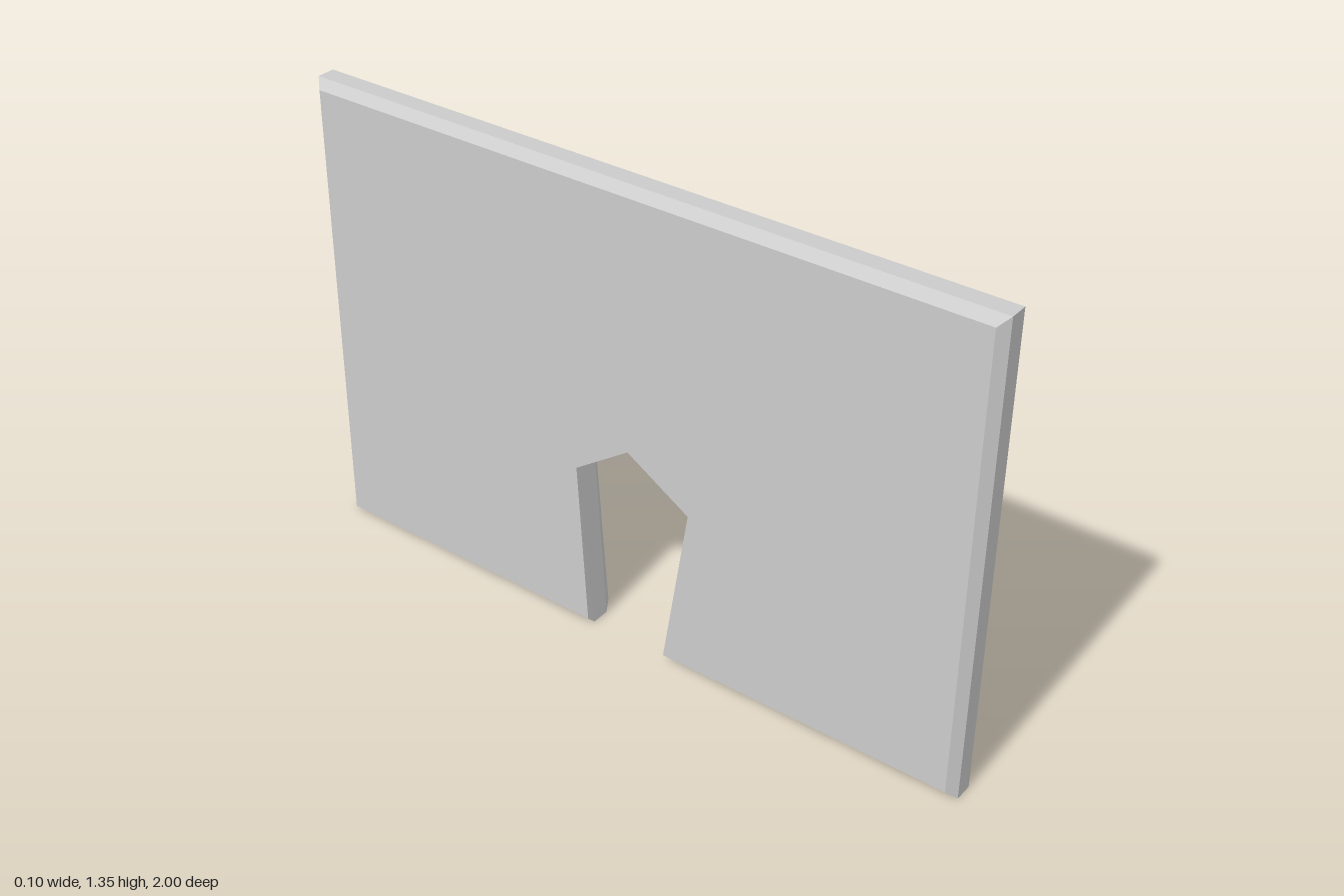
import * as THREE from 'three';

const HEIGHT = 1.345, BEVEL = 0.024, HALF = 0.05;

// Outline of the wall with its pointed doorway, as [along, up], counter-clockwise.
function outline(inset, doorway) {
  return [
    [-1 + inset, inset],
    ...doorway,
    [1 - inset, inset],
    [1 - inset, HEIGHT - inset],
    [-1 + inset, HEIGHT - inset],
  ].map(([u, v]) => new THREE.Vector2(u, v));
}

function createWallGeometry() {
  const door = [[-0.125, 0], [-0.2, 0.5], [-0.012, 0.615], [0.153, 0.5], [0.12, 0]];
  const doorPlain = [[-0.128, BEVEL], ...door.slice(1, 4), [0.122, BEVEL]];
  const doorWide = [[-0.14, BEVEL], [-0.213, 0.512], [-0.014, 0.63], [0.17, 0.514], [0.132, BEVEL]];

  // Cross-sections through the thickness; the doorway is bevelled on the +x face only
  const layers = [
    { x: -HALF, points: outline(BEVEL, doorPlain) },
    { x: -HALF + BEVEL, points: outline(0, door) },
    { x: HALF - BEVEL, points: outline(0, door) },
    { x: HALF, points: outline(BEVEL, doorWide) },
  ];
  const positions = [];
  const put = (layer, i) => positions.push(layer.x, layer.points[i].y, -layer.points[i].x);

  // Rim and bevels
  for (let k = 0; k < layers.length - 1; k++) {
    const a = layers[k], b = layers[k + 1], n = a.points.length;
    for (let i = 0; i < n; i++) {
      const j = (i + 1) % n;
      put(a, i); put(a, j); put(b, j);
      put(a, i); put(b, j); put(b, i);
    }
  }

  // Broad faces
  const back = layers[0], front = layers[3];
  for (const [i, j, k] of THREE.ShapeUtils.triangulateShape(front.points, [])) {
    put(front, i); put(front, j); put(front, k);
  }
  for (const [i, j, k] of THREE.ShapeUtils.triangulateShape(back.points, [])) {
    put(back, k); put(back, j); put(back, i);
  }

  const geometry = new THREE.BufferGeometry();
  geometry.setAttribute('position', new THREE.Float32BufferAttribute(positions, 3));
  geometry.computeVertexNormals();
  return geometry;
}

export function createModel() {
  const group = new THREE.Group();
  group.name = 'wallPanel';
  const material = new THREE.MeshStandardMaterial({ color: 0xcccccc, flatShading: true });
  const wall = new THREE.Mesh(createWallGeometry(), material);
  wall.name = 'wallWithDoorway';
  group.add(wall);
  return group;
}
